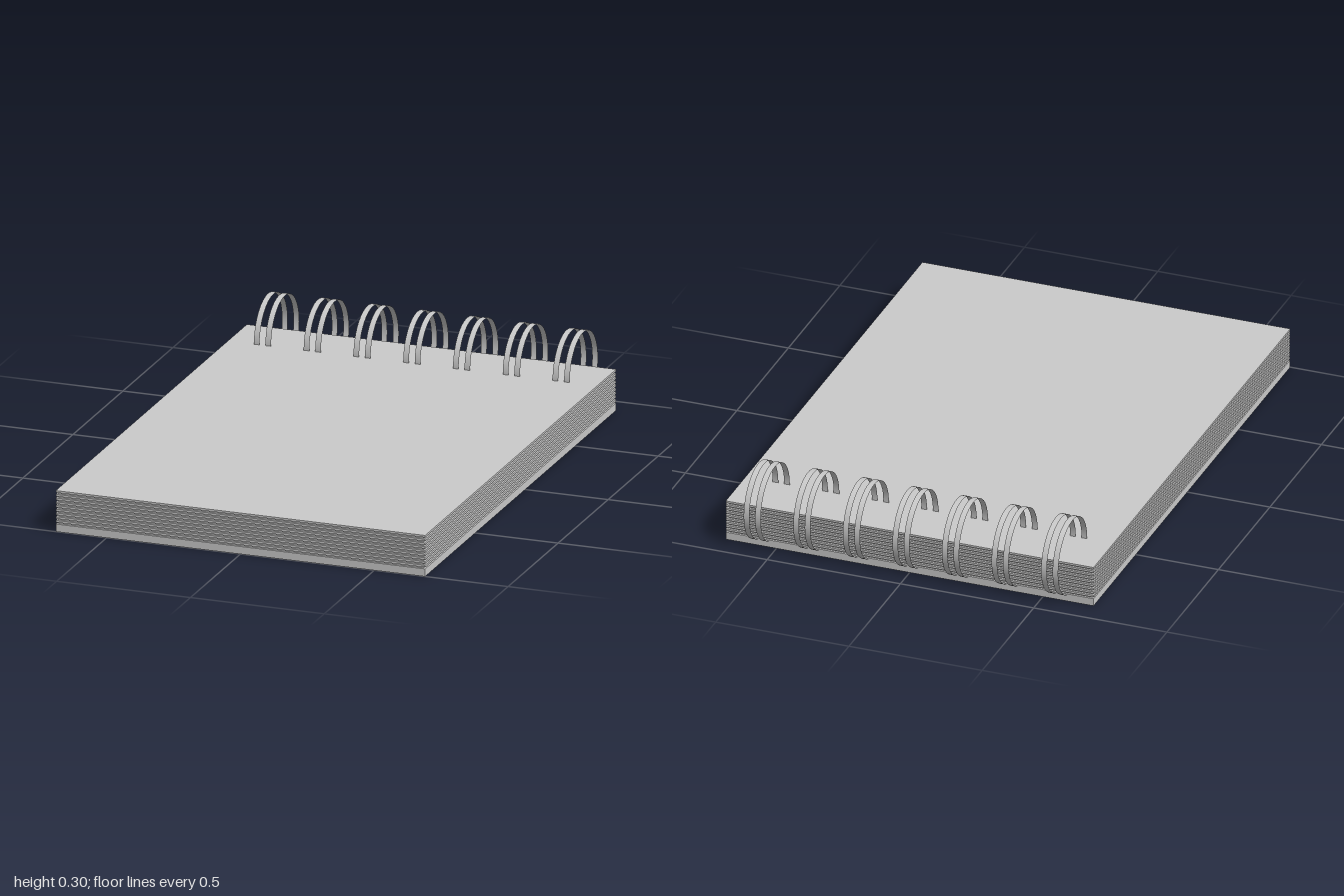
import * as THREE from 'three';

const W = 1.38, BACK = -0.91, FRONT = 1, TOP = 0.152;

export function createModel() {
  const group = new THREE.Group();
  const grey = new THREE.MeshStandardMaterial({ color: 0xcccccc });
  const thin = new THREE.MeshStandardMaterial({ color: 0xcccccc, side: THREE.DoubleSide });

  // a flat sheet between two heights, optionally inset on all four edges
  const slab = (name, y0, y1, inset = 0) => {
    const geo = new THREE.BoxGeometry(W - 2 * inset, y1 - y0, FRONT - BACK - 2 * inset);
    const mesh = new THREE.Mesh(geo, grey);
    mesh.position.set(0, (y0 + y1) / 2, (FRONT + BACK) / 2);
    mesh.name = name;
    group.add(mesh);
  };

  // thick backing board and the recessed core seen between the pages
  const board = 0.028;
  slab('backBoard', 0, board);
  slab('pageCore', board, TOP - 0.004, 0.008);

  // stacked pages, the last one being the front cover
  const pages = 9, pitch = (TOP - board) / pages;
  for (let i = 0; i < pages; i++) {
    const top = board + (i + 1) * pitch;
    slab(i === pages - 1 ? 'frontCover' : 'page', top - pitch * 0.55, top);
  }

  // seven pairs of flat wire rings along the back edge
  const ringGeo = new THREE.CylinderGeometry(0.141, 0.141, 0.021, 48, 1, true);
  ringGeo.rotateZ(Math.PI / 2);
  for (let i = 0; i < 7; i++) {
    const pair = new THREE.Group();
    pair.name = 'ringPair';
    pair.position.set((i - 3) * 0.186 - 0.002, 0.154, -0.859);
    for (const side of [-1, 1]) {
      const ring = new THREE.Mesh(ringGeo, thin);
      ring.name = 'ring';
      ring.position.x = side * 0.0215;
      pair.add(ring);
    }
    group.add(pair);
  }
  return group;
}
